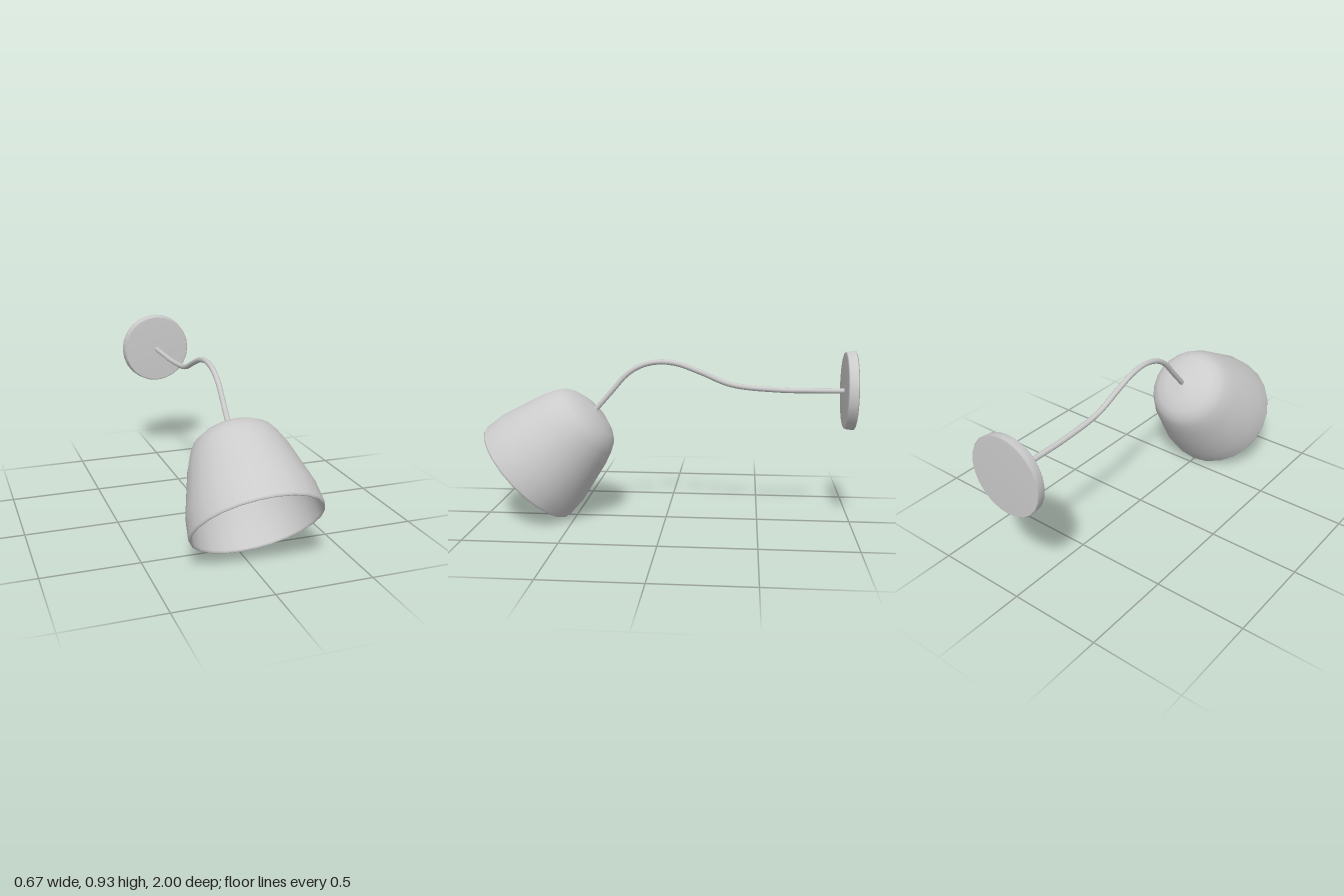
import * as THREE from 'three';

const material = new THREE.MeshStandardMaterial({ color: 0xcccccc });

function addPart(parent, name, geometry) {
  const mesh = new THREE.Mesh(geometry, material);
  mesh.name = name;
  parent.add(mesh);
  return mesh;
}

// Revolves [radius, height] pairs around the y axis
function lathe(profile, segments) {
  return new THREE.LatheGeometry(profile.map(([r, y]) => new THREE.Vector2(r, y)), segments);
}

export function createModel() {
  const lamp = new THREE.Group();
  lamp.name = 'wallLamp';

  // Round wall plate, slightly tapered towards the front
  const plate = addPart(lamp, 'wallPlate',
    lathe([[0, 0], [0.205, 0], [0.21, 0.006], [0.205, 0.048], [0.197, 0.055], [0, 0.055]], 24));
  plate.rotation.x = Math.PI / 2;
  plate.position.set(0, 0.725, -1);

  // Swan-neck arm from the plate to the top of the shade, as [z, y]
  const path = [[-0.96, 0.722], [-0.78, 0.721], [-0.6, 0.723], [-0.35, 0.748], [-0.18, 0.815],
    [-0.06, 0.857], [0.04, 0.866], [0.13, 0.847], [0.21, 0.8], [0.3, 0.7], [0.39, 0.598]];
  const curve = new THREE.CatmullRomCurve3(path.map(([z, y]) => new THREE.Vector3(0, y, z)));
  addPart(lamp, 'arm', new THREE.TubeGeometry(curve, 56, 0.0145, 10));

  // Tilted head, built upright with its rim at y = 0
  const head = new THREE.Group();
  head.name = 'head';
  head.position.set(0, 0.245, 0.772);
  head.rotation.x = -0.823;
  lamp.add(head);

  // Shade with wall thickness: down the inside, round the rim, up the outside
  const outer = [[0.334, 0.012], [0.323, 0.12], [0.29, 0.24], [0.258, 0.355], [0.23, 0.425],
    [0.205, 0.468], [0.165, 0.497], [0.1, 0.522], [0, 0.534]];
  const inner = [[0, 0.518], [0.095, 0.507], [0.155, 0.482], [0.193, 0.453], [0.216, 0.415],
    [0.244, 0.35], [0.276, 0.238], [0.309, 0.12], [0.319, 0.01]];
  addPart(head, 'shade', lathe([...inner, [0.324, 0], [0.331, 0.001], ...outer], 24));

  // Small bulb socket inside the shade
  const socket = addPart(head, 'socket', new THREE.CylinderGeometry(0.05, 0.05, 0.165, 10));
  socket.position.y = 0.4425;

  return lamp;
}
